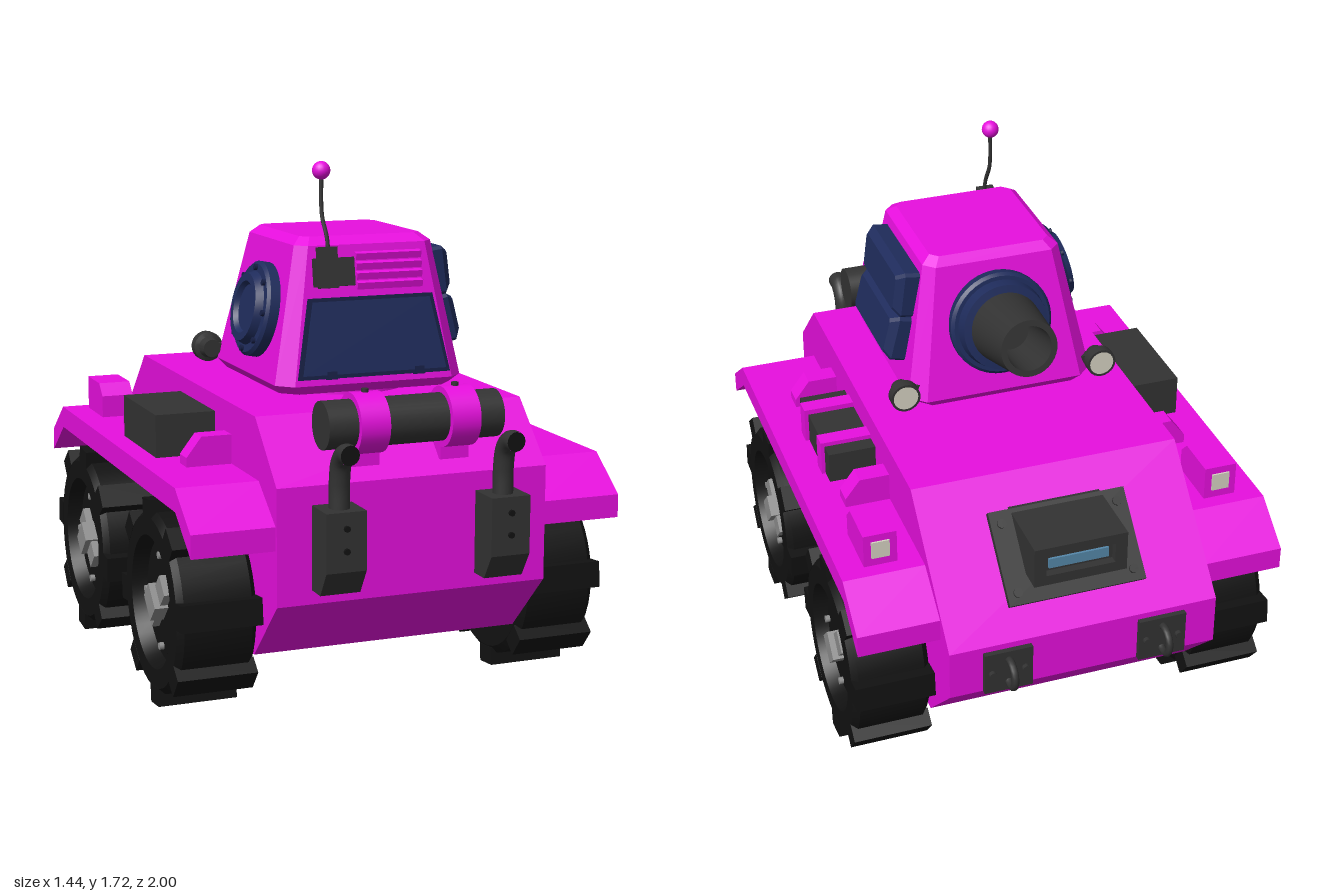
import * as THREE from 'three';
import { toCreasedNormals } from 'three/addons/utils/BufferGeometryUtils.js';

const mat = (color) => new THREE.MeshStandardMaterial({ color });
const PINK = mat(0xe80fdf), DARK = mat(0x333333), TYRE = mat(0x121212), BLUE = mat(0x1f2c5c),
  NAVY = mat(0x161f45), STEEL = mat(0x8c8c8c), LENS = mat(0xd8d4c4), GLASS = mat(0x5588aa);

export function createModel() {
  const root = new THREE.Group();

  const add = (name, geo, m, p = [0, 0, 0], parent = root) => {
    const mesh = new THREE.Mesh(geo, m);
    mesh.name = name;
    mesh.position.set(...p);
    parent.add(mesh);
    return mesh;
  };
  const group = (name, p, r = [0, 0, 0]) => {
    const g = new THREE.Group();
    g.name = name;
    g.position.set(...p);
    g.rotation.set(...r);
    root.add(g);
    return g;
  };
  const box = (w, h, d) => new THREE.BoxGeometry(w, h, d);
  const cyl = (r, h, n = 24) => new THREE.CylinderGeometry(r, r, h, n);
  const shape = (pts) => new THREE.Shape(pts.map((p) => new THREE.Vector2(...p)));
  const slab = (s, depth) => new THREE.ExtrudeGeometry(s, { depth, bevelEnabled: false });
  const lathe = (pts, n = 36) =>
    toCreasedNormals(new THREE.LatheGeometry(pts.map((p) => new THREE.Vector2(...p)), n), 0.5);
  // side profile given as [z, y], extruded along x and centred
  const profileX = (pts, w) => slab(shape(pts), w).rotateY(-Math.PI / 2).translate(w / 2, 0, 0);

  // chamfered rectangle at height y, and a flat-faced loft through such rings
  const ring = (hx, z0, z1, c, y) => [
    [-hx + c, y, z1], [hx - c, y, z1], [hx, y, z1 - c], [hx, y, z0 + c],
    [hx - c, y, z0], [-hx + c, y, z0], [-hx, y, z0 + c], [-hx, y, z1 - c]];
  const loft = (rings) => {
    const v = [];
    const tri = (...t) => t.forEach((p) => v.push(...p));
    const n = rings[0].length, top = rings[rings.length - 1], bot = rings[0];
    for (let k = 0; k + 1 < rings.length; k++) {
      for (let i = 0; i < n; i++) {
        const j = (i + 1) % n, a = rings[k], b = rings[k + 1];
        tri(a[i], a[j], b[j]);
        tri(a[i], b[j], b[i]);
      }
    }
    for (let i = 1; i < n - 1; i++) {
      tri(top[0], top[i], top[i + 1]);
      tri(bot[0], bot[i + 1], bot[i]);
    }
    const g = new THREE.BufferGeometry();
    g.setAttribute('position', new THREE.Float32BufferAttribute(v, 3));
    g.computeVertexNormals();
    return g;
  };

  // hull
  add('hull', profileX([[0.64, 0.2], [0.85, 0.41], [0.85, 0.78], [0.66, 0.965], [-0.53, 0.965],
    [-0.91, 0.59], [-0.91, 0.42], [-0.7, 0.21]], 0.9), PINK);
  add('turretRing', cyl(0.24, 0.05, 40), PINK, [0, 0.98, 0.19]);

  // fenders, cleats and rear lamps on both sides
  const fender = profileX([[0.84, 0.585], [0.84, 0.66], [0.69, 0.77], [-0.67, 0.77], [-0.82, 0.66],
    [-0.82, 0.585], [-0.67, 0.695], [0.69, 0.695]], 0.27);
  const lamp = profileX([[-0.43, 0.76], [-0.43, 0.845], [-0.47, 0.885], [-0.62, 0.885], [-0.62, 0.76]], 0.11);
  for (const s of [1, -1]) {
    add('fender', fender, PINK, [s * 0.583, 0, 0]);
    add('rearLamp', lamp, PINK, [s * 0.58, 0, 0]);
    add('rearLampLens', box(0.06, 0.06, 0.01), LENS, [s * 0.58, 0.83, -0.621]);
    const cleat = slab(shape([[0.44, 0.76], [0.6, 0.76], [0.6, 0.8], [0.55, 0.865], [0.44, 0.865]]
      .map(([x, y]) => [s * x, y])), 0.07);
    for (const z of [0.4, -0.25]) add('fenderCleat', cleat, PINK, [0, 0, z - 0.035]);
  }

  // stowage: strapped case on the left, plain box on the right
  for (const [z, d] of [[0.227, 0.055], [0.062, 0.155], [-0.098, 0.055]])
    add('strappedCase', box(0.17, 0.115, d), DARK, [0.525, 0.818, z]);
  for (const z of [0.172, -0.043]) add('caseStrap', box(0.185, 0.13, 0.056), PINK, [0.53, 0.825, z]);
  add('stowageBox', box(0.2, 0.15, 0.37), DARK, [-0.55, 0.835, 0.085]);

  // wheels
  const tyre = lathe([[0, -0.13], [0.27, -0.13], [0.295, -0.11], [0.295, 0.11], [0.277, 0.13],
    [0.215, 0.13], [0.2, 0.08], [0.175, 0.08], [0.17, 0.09], [0, 0.09]], 40);
  const lug = box(0.085, 0.262, 0.06);
  for (const s of [1, -1]) for (const [z, f] of [[0.405, 1], [-0.44, -1]]) {
    const w = group('wheel', [s * 0.585, 0.335, z], [0, 0, -s * Math.PI / 2]);
    add('tyre', tyre, TYRE, [0, 0, 0], w);
    for (let i = 0; i < 8; i++) {
      const a = i * Math.PI / 4 + Math.PI / 2 - s * f * 0.1;
      add('treadLug', lug, TYRE, [0.302 * Math.sin(a), 0, 0.302 * Math.cos(a)], w).rotation.y = a;
    }
    for (let i = 0; i < 4; i++) {
      const a = i * Math.PI / 2;
      add('wheelBolt', cyl(0.012, 0.02, 10), STEEL, [0.15 * Math.sin(a), 0.095, 0.15 * Math.cos(a)], w);
    }
    const turn = -s * f * Math.PI / 4;
    add('hubBar', box(0.075, 0.03, 0.2), STEEL, [0, 0.1, 0], w).rotation.y = turn;
    add('hubBlock', box(0.095, 0.05, 0.075), STEEL, [0, 0.11, 0], w).rotation.y = turn;
  }

  // turret shell
  add('turret', loft([ring(0.295, -0.115, 0.5, 0.05, 0.99), ring(0.32, -0.14, 0.53, 0.05, 1.02),
    ring(0.235, -0.03, 0.46, 0.035, 1.455), ring(0.205, 0, 0.42, 0.025, 1.48)]), PINK);

  // gun on the -z wall
  const gun = group('gun', [0, 1.245, -0.06], [-1.38, 0, 0]);
  add('gunCollar', lathe([[0, -0.03], [0.165, -0.03], [0.175, -0.02], [0.175, 0.045], [0.165, 0.055],
    [0.152, 0.055], [0.145, 0.095], [0.1, 0.1]]), BLUE, [0, 0, 0], gun);
  add('barrel', lathe([[0.122, 0.08], [0.095, 0.32], [0.075, 0.32], [0.065, 0.13], [0, 0.13]]), DARK, [0, 0, 0], gun);

  // armour panels on the +x wall
  const sidePanels = group('sidePanels', [0.277, 1.24, 0.2], [0, 0, -1.38]);
  const panel = loft([ring(0.08, -0.195, 0.195, 0.01, -0.02), ring(0.08, -0.195, 0.195, 0.01, 0.045),
    ring(0.06, -0.17, 0.17, 0.01, 0.07)]);
  add('upperPanel', panel, BLUE, [-0.105, 0, 0], sidePanels).rotation.z = -0.06;
  add('lowerPanel', panel, BLUE, [0.06, 0, 0], sidePanels).rotation.z = 0.06;

  // round hatch on the -x wall
  const hatch = group('roundHatch', [-0.282, 1.23, 0.25], [0, 0, 1.38]);
  add('hatchDisc', lathe([[0, -0.02], [0.155, -0.02], [0.155, 0.03], [0.145, 0.04], [0.12, 0.04],
    [0.11, 0.065], [0.085, 0.065], [0.075, 0.05], [0, 0.05]]), BLUE, [0, 0, 0], hatch);
  for (let i = 0; i < 8; i++) {
    const a = i * Math.PI / 4;
    add('hatchBolt', cyl(0.01, 0.02, 8), NAVY, [0.133 * Math.cos(a), 0.04, 0.133 * Math.sin(a)], hatch);
  }

  // window, vent and aerial box on the +z wall
  const wall = group('turretFront', [0, 1.02, 0.53], [-0.16, 0, 0]);
  add('windowFrame', slab(shape([[-0.26, 0.02], [0.26, 0.02], [0.212, 0.275], [-0.212, 0.275]]), 0.02),
    NAVY, [0, 0, -0.008], wall);
  add('windowPane', slab(shape([[-0.245, 0.032], [0.245, 0.032], [0.2, 0.263], [-0.2, 0.263]]), 0.02),
    BLUE, [0, 0, -0.003], wall);
  for (const x of [-0.15, 0.15]) add('windowHinge', box(0.03, 0.025, 0.03), NAVY, [x, 0.03, 0.01], wall);
  for (let i = 0; i < 4; i++)
    add('ventSlat', box(0.225, 0.022, 0.03), PINK, [0.068, 0.312 + i * 0.031, 0], wall).rotation.x = 0.4;
  add('aerialBox', box(0.13, 0.09, 0.05), DARK, [-0.125, 0.355, 0.01], wall);
  add('aerialSocket', box(0.06, 0.13, 0.06), DARK, [-0.145, 0.37, 0.005], wall);

  // aerial
  const aerial = new THREE.CatmullRomCurve3([[-0.14, 1.4, 0.485], [-0.142, 1.48, 0.475],
    [-0.15, 1.55, 0.452], [-0.15, 1.68, 0.445]].map((p) => new THREE.Vector3(...p)));
  add('aerial', new THREE.TubeGeometry(aerial, 20, 0.007, 8), DARK);
  add('aerialBall', new THREE.SphereGeometry(0.029, 20, 14), PINK, [-0.15, 1.69, 0.445]);

  // headlamps beside the gun
  for (const s of [1, -1]) {
    const h = group('headlamp', [s * 0.345, 1.055, -0.07], [-Math.PI / 2, 0, 0]);
    add('lampBody', lathe([[0, 0], [0.03, 0], [0.036, 0.035], [0.05, 0.04], [0.05, 0.075], [0.042, 0.075]], 24), DARK, [0, 0, 0], h);
    add('lampLens', cyl(0.043, 0.008), LENS, [0, 0.07, 0], h);
    add('lampBracket', box(0.07, 0.03, 0.03), DARK, [-s * 0.035, 0.02, 0], h);
  }

  // roll carried on the +z slope
  add('roll', cyl(0.075, 0.58, 32).rotateZ(Math.PI / 2), DARK, [-0.005, 0.955, 0.815]);
  for (const x of [-0.152, 0.148]) {
    add('rollBand', cyl(0.095, 0.095, 32).rotateZ(Math.PI / 2), PINK, [x, 0.955, 0.815]);
    add('bandFoot', box(0.095, 0.14, 0.1), PINK, [x, 0.89, 0.77]);
    add('bandBolt', cyl(0.012, 0.02, 10), DARK, [x, 1.05, 0.815]);
  }

  // exhausts
  const silencer = profileX([[0.84, 0.455], [0.92, 0.455], [0.97, 0.535], [0.97, 0.72], [0.84, 0.72]], 0.13);
  const pipe = new THREE.CatmullRomCurve3([[0.7, 0.91], [0.8, 0.91], [0.865, 0.925], [0.895, 0.96],
    [0.897, 1.0]].map(([y, z]) => new THREE.Vector3(0, y, z)));
  const pipeGeo = new THREE.TubeGeometry(pipe, 24, 0.032, 16);
  for (const s of [1, -1]) {
    add('silencer', silencer, DARK, [s * 0.272, 0, 0]);
    add('exhaustPipe', pipeGeo, DARK, [s * 0.272, 0, 0]);
    add('exhaustPlug', new THREE.CircleGeometry(0.031, 16), TYRE, [s * 0.272, 0.897, 0.995]);
    for (const y of [0.6, 0.67])
      add('silencerBolt', cyl(0.01, 0.015, 8).rotateX(Math.PI / 2), TYRE, [s * 0.272, y, 0.972]);
  }

  // viewing port on the -z slope
  add('portPlate', profileX([[-0.61, 0.87], [-0.825, 0.655], [-0.85, 0.68], [-0.635, 0.895]], 0.46), DARK);
  add('portHousing', profileX([[-0.6, 0.885], [-0.835, 0.885], [-0.835, 0.745], [-0.72, 0.745]], 0.31), DARK);
  const frame = shape([[-0.155, 0.745], [0.155, 0.745], [0.155, 0.885], [-0.155, 0.885]]);
  frame.holes.push(shape([[-0.115, 0.78], [-0.115, 0.85], [0.115, 0.85], [0.115, 0.78]]));
  add('portFrame', slab(frame, 0.03), DARK, [0, 0, -0.862]);
  add('portGlass', box(0.2, 0.035, 0.01), GLASS, [0, 0.81, -0.838]);
  for (const x of [-0.195, 0.195]) for (const [y, z] of [[0.864, -0.664], [0.706, -0.822]])
    add('portBolt', cyl(0.015, 0.02, 10).rotateX(-Math.PI / 4), DARK, [x, y, z]);

  // tow rings
  for (const s of [1, -1]) {
    add('towPlate', box(0.16, 0.15, 0.02), DARK, [s * 0.26, 0.495, -0.918]);
    add('towRing', new THREE.TorusGeometry(0.046, 0.012, 10, 24).rotateY(Math.PI / 2), DARK, [s * 0.26, 0.495, -0.942]);
    for (const dx of [-0.055, 0.055])
      add('towBolt', cyl(0.013, 0.02, 8).rotateX(Math.PI / 2), DARK, [s * 0.26 + dx, 0.495, -0.932]);
  }
  return root;
}
